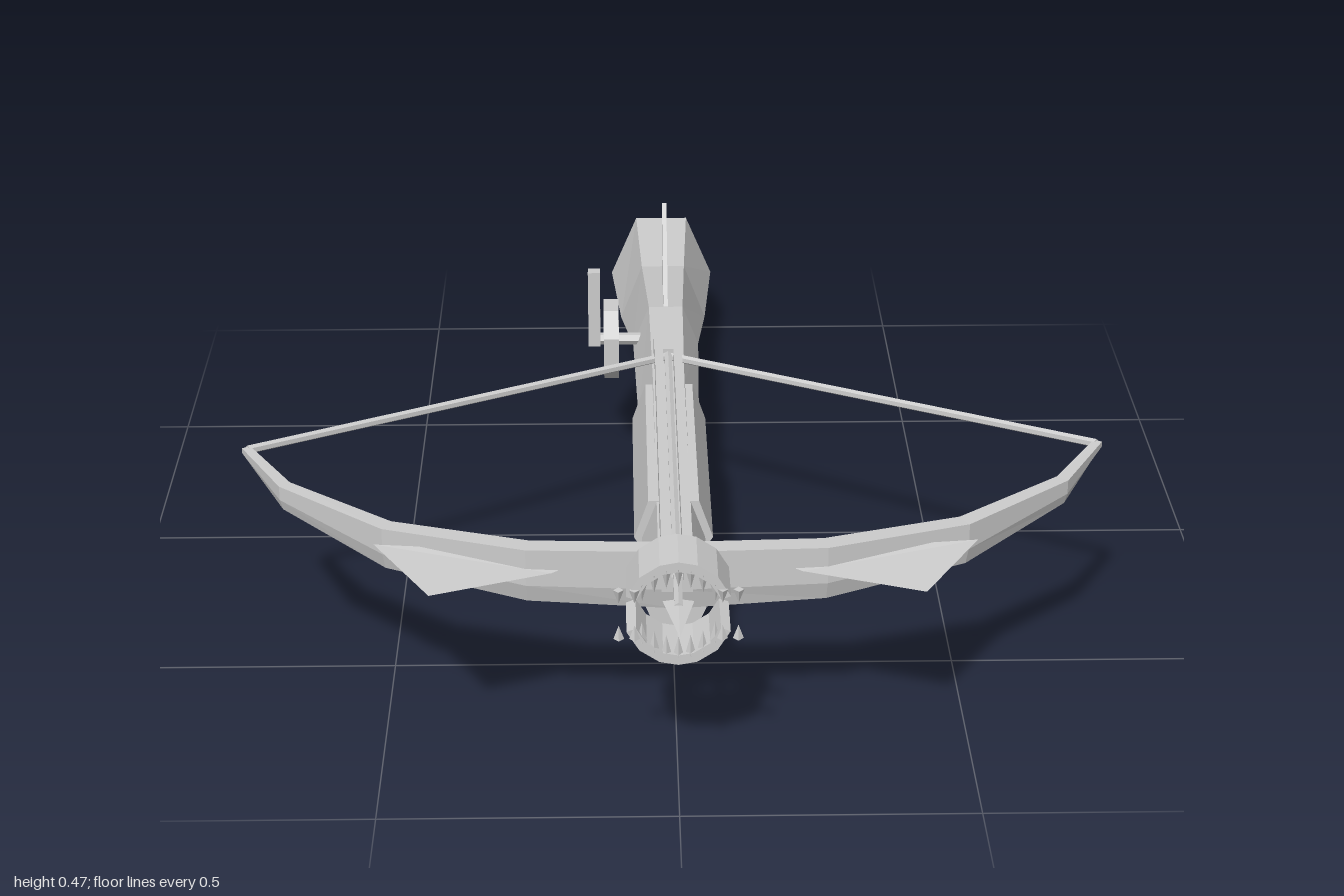
import * as THREE from 'three';

const grey = new THREE.MeshStandardMaterial({ color: 0xcccccc, flatShading: true });
grey.name = 'light grey';
const greyThin = new THREE.MeshStandardMaterial({ color: 0xcccccc, flatShading: true, side: THREE.DoubleSide });
greyThin.name = 'light grey thin';

// Joins equal-length rings of [x, y, z] points into a capped solid.
function loft(rings) {
  const n = rings[0].length, pos = [], idx = [];
  rings.forEach(r => r.forEach(p => pos.push(...p)));
  for (let i = 0; i < rings.length - 1; i++) {
    for (let j = 0; j < n; j++) {
      const a = i * n + j, b = i * n + (j + 1) % n;
      idx.push(a, b, b + n, a, b + n, a + n);
    }
  }
  const last = (rings.length - 1) * n;
  for (let j = 1; j < n - 1; j++) {
    idx.push(0, j + 1, j, last, last + j, last + j + 1);
  }
  const g = new THREE.BufferGeometry();
  g.setAttribute('position', new THREE.Float32BufferAttribute(pos, 3));
  g.setIndex(idx);
  const flat = g.toNonIndexed();
  flat.computeVertexNormals();
  return flat;
}

export function createModel() {
  const model = new THREE.Group();
  model.name = 'crossbow';

  const add = (name, geometry, x = 0, y = 0, z = 0, material = grey) => {
    const m = new THREE.Mesh(geometry, material);
    m.name = name;
    m.position.set(x, y, z);
    model.add(m);
    return m;
  };
  // Box given by its limits on each axis
  const box = (name, x0, x1, y0, y1, z0, z1) =>
    add(name, new THREE.BoxGeometry(x1 - x0, y1 - y0, z1 - z0), (x0 + x1) / 2, (y0 + y1) / 2, (z0 + z1) / 2);
  // Round bar between two points
  const bar = (name, a, b, r, sides = 6) => {
    const p = new THREE.Vector3(...a), d = new THREE.Vector3(...b).sub(p);
    const m = add(name, new THREE.CylinderGeometry(r, r, d.length(), sides));
    m.position.copy(p).addScaledVector(d, 0.5);
    m.quaternion.setFromUnitVectors(new THREE.Vector3(0, 1, 0), d.normalize());
    return m;
  };

  // Hexagonal stock: z, bottom, middle, top, half width, half width of flats
  const stock = [
    [-1, 0, 0.135, 0.265, 0.11, 0.055],
    [-0.75, 0.018, 0.135, 0.253, 0.09, 0.045],
    [-0.38, 0.152, 0.237, 0.318, 0.066, 0.034],
    [-0.02, 0.17, 0.24, 0.315, 0.058, 0.03],
    [0.71, 0.18, 0.24, 0.308, 0.055, 0.03],
  ];
  add('stock', loft(stock.map(([z, b, m, t, w, f]) => [
    [f, b, z], [w, m, z], [f, t, z], [-f, t, z], [-w, m, z], [-f, b, z],
  ])));

  // Fore-end sleeve around the upper stock
  add('foreEndSleeve', loft([-0.02, 0.47].map(z => [
    [0.045, 0.2, z], [0.07, 0.24, z], [0.045, 0.312, z], [-0.045, 0.312, z], [-0.07, 0.24, z], [-0.045, 0.2, z],
  ])));

  // Grooved rail, string nut and bolt
  box('railBase', -0.026, 0.026, 0.3, 0.328, -0.1, 0.78);
  for (const s of [-1, 1]) {
    const x = s * 0.018;
    box('railSide', x - 0.008, x + 0.008, 0.325, 0.36, -0.08, 0.79);
  }
  box('stringNut', -0.027, 0.027, 0.31, 0.35, -0.16, -0.1);
  bar('boltShaft', [0, 0.338, -0.1], [0, 0.338, 0.9], 0.008);
  const head = new THREE.ConeGeometry(0.026, 0.12, 4);
  head.rotateX(Math.PI / 2).scale(1, 0.15, 1);
  add('boltHead', head, 0, 0.338, 0.94);

  // Bow limbs: x, z, bottom, lower crease, top, half thickness
  const half = [
    [0, 0.752, 0.258, 0.298, 0.37, 0.018],
    [0.25, 0.742, 0.27, 0.303, 0.37, 0.018],
    [0.49, 0.67, 0.295, 0.325, 0.373, 0.016],
    [0.675, 0.53, 0.335, 0.355, 0.381, 0.012],
    [0.755, 0.4, 0.376, 0.38, 0.39, 0.008],
  ];
  const spine = [...half.slice(1).reverse().map(([x, ...r]) => [-x, ...r]), ...half];
  add('bow', loft(spine.map(([x, z, b, m, t, h], i) => {
    const p = spine[Math.max(i - 1, 0)], q = spine[Math.min(i + 1, spine.length - 1)];
    const dx = q[0] - p[0], dz = q[1] - p[1], len = Math.hypot(dx, dz);
    const at = (k, y) => [x - dz / len * k, y, z + dx / len * k];
    return [at(-h, t), at(-h, m), at(-h * 0.5, b), at(h * 0.5, b), at(h, m), at(h, t)].reverse();
  })));

  for (const s of [-1, 1]) {
    // Bow string
    bar('bowString', [s * 0.752, 0.385, 0.4], [0, 0.335, -0.1], 0.008);

    // Thin spiked fins crossing the limb
    const fin = new THREE.BufferGeometry();
    fin.setAttribute('position', new THREE.Float32BufferAttribute([
      s * 0.51, 0.352, 0.7, s * 0.41, 0.335, 0.85, s * 0.21, 0.332, 0.77,
      s * 0.51, 0.352, 0.7, s * 0.21, 0.332, 0.77, s * 0.13, 0.34, 0.72,
    ], 3));
    fin.computeVertexNormals();
    add('limbFin', fin, 0, 0, 0, greyThin);
  }

  // Open jaws around the muzzle, with teeth pointing inward and forward
  for (const s of [-1, 1]) {
    const jaw = new THREE.Group();
    jaw.name = s > 0 ? 'upperJaw' : 'lowerJaw';
    const pts = r => [20, 45, 70, 90, 110, 135, 160].map(d => {
      const a = d * Math.PI / 180;
      return new THREE.Vector2(Math.cos(a) * r, Math.sin(a) * r * 1.05);
    });
    const shape = new THREE.Shape([...pts(0.091), ...pts(0.074).reverse()]);
    const shell = new THREE.Mesh(new THREE.ExtrudeGeometry(shape, { depth: 0.1, bevelEnabled: false }), grey);
    shell.name = 'jawShell';
    jaw.add(shell);
    const tooth = (x, y, z, r, h, forward) => {
      const m = new THREE.Mesh(new THREE.ConeGeometry(r, h, 4), grey);
      m.name = 'tooth';
      m.position.set(x, y, z);
      m.rotation.x = forward ? Math.PI / 2 : Math.PI;
      jaw.add(m);
    };
    for (let i = -3; i <= 3; i++) {
      const x = i * 0.02;
      tooth(x, Math.sqrt(0.079 ** 2 - x * x) - 0.015, 0.092, 0.009, 0.036, false);
    }
    for (const x of [-0.098, -0.072, 0.072, 0.098]) tooth(x, 0.033, 0.1, 0.009, 0.025, false);
    jaw.position.set(0, 0.322, s > 0 ? 0.795 : 0.895);
    // The lower jaw is the upper one turned over
    if (s < 0) {
      jaw.position.z = 0.795;
      jaw.rotation.z = Math.PI;
    }
    model.add(jaw);
  }

  // Grip and trigger guard
  box('grip', -0.037, 0.037, 0, 0.19, -0.23, -0.13);
  box('triggerGuardBottom', -0.015, 0.015, 0.048, 0.066, -0.3, -0.22);
  box('triggerGuardBack', -0.015, 0.015, 0.05, 0.17, -0.31, -0.292);

  // Winding wheel with its axle and crank
  const wheel = new THREE.CylinderGeometry(0.08, 0.08, 0.03, 8);
  wheel.rotateY(Math.PI / 8).rotateZ(Math.PI / 2);
  add('windingWheel', wheel, -0.11, 0.262, -0.35);
  bar('wheelAxle', [-0.145, 0.262, -0.35], [-0.04, 0.262, -0.35], 0.012);
  box('crankHandle', -0.156, -0.132, 0.25, 0.41, -0.362, -0.338);

  // Upright fin on the back of the stock
  const sight = new THREE.Shape([[0.37, 0.305], [0.43, 0.305], [0.57, 0.39], [0.565, 0.47]]
    .map(([z, y]) => new THREE.Vector2(z, y)));
  const plate = new THREE.ExtrudeGeometry(sight, { depth: 0.009, bevelEnabled: false });
  plate.rotateY(Math.PI / 2);
  add('rearFin', plate, -0.0045, 0, 0);

  return model;
}
